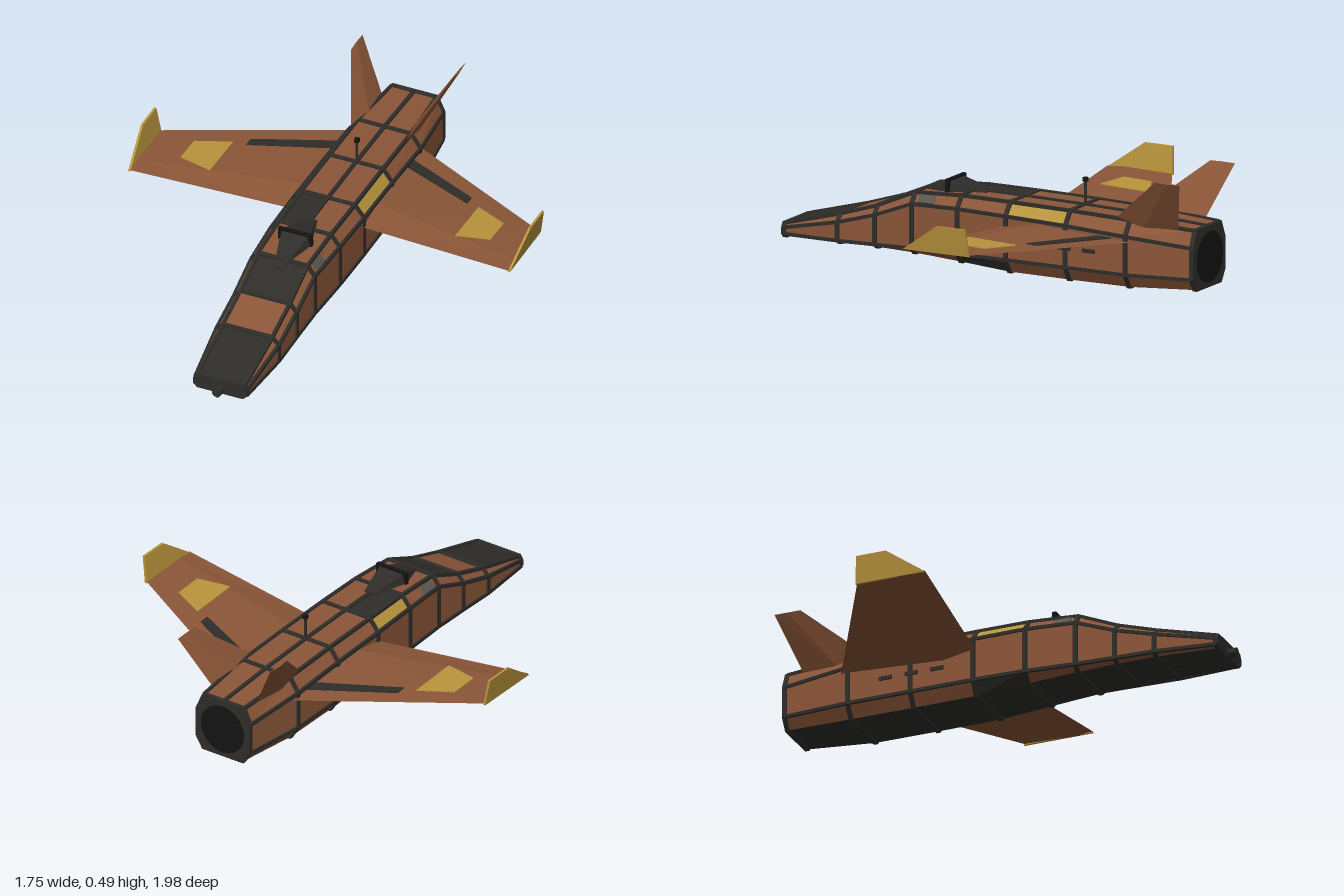
import * as THREE from 'three';

const mat = (color) => new THREE.MeshStandardMaterial({ color, flatShading: true, side: THREE.DoubleSide });
const MATS = {
  brown: mat(0x8b5638), dark: mat(0x2e2d2a), yellow: mat(0xb8943c),
  black: mat(0x141414), grey: mat(0x5a5650),
};
const V = (x, y, z) => new THREE.Vector3(x, y, z);

// Mesh from a flat list of triangle corners
function triMesh(name, points, material) {
  const geo = new THREE.BufferGeometry().setFromPoints(points);
  geo.computeVertexNormals();
  const mesh = new THREE.Mesh(geo, material);
  mesh.name = name;
  return mesh;
}

// Closed solid through matching rings, always turned to face outward
function loft(name, rings, material) {
  const tris = [];
  const n = rings[0].length;
  for (let i = 0; i < rings.length - 1; i++) {
    for (let j = 0; j < n; j++) {
      const k = (j + 1) % n, a = rings[i], b = rings[i + 1];
      tris.push(a[j], b[j], b[k], a[j], b[k], a[k]);
    }
  }
  const first = rings[0], last = rings[rings.length - 1];
  for (let j = 1; j < n - 1; j++) {
    tris.push(first[0], first[j], first[j + 1], last[0], last[j + 1], last[j]);
  }
  let volume = 0;
  const cross = V(0, 0, 0);
  for (let i = 0; i < tris.length; i += 3) volume += tris[i].dot(cross.crossVectors(tris[i + 1], tris[i + 2]));
  if (volume < 0) tris.reverse();
  return triMesh(name, tris, material);
}

// Square bar between two points
function bar(name, a, b, size, material) {
  const mesh = new THREE.Mesh(new THREE.BoxGeometry(size, size, a.distanceTo(b)), material);
  mesh.position.copy(a).lerp(b, 0.5);
  mesh.lookAt(b);
  mesh.name = name;
  return mesh;
}

function box(name, w, h, d, x, y, z, material) {
  const mesh = new THREE.Mesh(new THREE.BoxGeometry(w, h, d), material);
  mesh.position.set(x, y, z);
  mesh.name = name;
  return mesh;
}

// Fuselage stations: z, half widths (bottom, side, top), heights (bottom, lower, upper, top)
const STATIONS = [
  [0.955, 0.1, 0.115, 0.105, 0.03, 0.042, 0.068, 0.085],
  [0.69, 0.115, 0.14, 0.11, 0.035, 0.048, 0.125, 0.155],
  [0.515, 0.115, 0.14, 0.11, 0.036, 0.052, 0.175, 0.21],
  [0.34, 0.115, 0.142, 0.11, 0.032, 0.056, 0.242, 0.285],
  [0.12, 0.12, 0.155, 0.115, 0.02, 0.06, 0.248, 0.297],
  [-0.11, 0.125, 0.16, 0.118, 0.005, 0.062, 0.244, 0.296],
  [-0.39, 0.125, 0.16, 0.118, 0.004, 0.062, 0.236, 0.292],
  [-0.67, 0.125, 0.16, 0.118, 0.005, 0.062, 0.222, 0.284],
  [-0.965, 0.1, 0.13, 0.1, 0.02, 0.068, 0.2, 0.268],
];

// Cross-section grown outward by g, shifted along z by dz
function section([z, b, w, t, y0, y1, y2, y3], g = 0, dz = 0) {
  return [
    [-b - g / 2, y0 - g], [b + g / 2, y0 - g], [w + g, y1], [w + g, y2], [t + g / 2, y3 + g],
    [0, y3 + g], [-t - g / 2, y3 + g], [-w - g, y2], [-w - g, y1],
  ].map(([x, y]) => V(x, y, z + dz));
}

// Colour of the skin panel in bay i, face j
function panelColor(i, j) {
  const top = j === 4 || j === 5;
  if (j === 0) return 'dark';
  if (top && (i === 0 || i === 2)) return 'dark';
  if (i === 4 && (j === 5 || j === 1 || j === 8)) return 'dark';
  if ((i === 4 && j === 6) || (i === 5 && j === 3)) return 'yellow';
  return 'brown';
}

function makeFuselage() {
  const group = new THREE.Group();
  group.name = 'fuselage';
  const skins = { brown: [], dark: [], yellow: [] };
  const rings = STATIONS.map((s) => section(s));
  for (let i = 0; i < rings.length - 1; i++) {
    for (let j = 0; j < 9; j++) {
      const k = (j + 1) % 9, f = rings[i], r = rings[i + 1];
      skins[panelColor(i, j)].push(f[j], r[j], r[k], f[j], r[k], f[k]);
    }
  }
  for (const key in skins) group.add(triMesh(`${key}SkinPanels`, skins[key], MATS[key]));

  // Seam frames around each station; the end ones close the hull
  STATIONS.forEach((s) => group.add(loft('seamFrame', [section(s, 0.006, 0.01), section(s, 0.006, -0.01)], MATS.dark)));

  // Lengthwise seam strips on the hull edges
  for (let i = 0; i < rings.length - 1; i++) {
    for (const j of [2, 3, 4, 6, 7, 8]) group.add(bar('seamStrip', rings[i][j], rings[i + 1][j], 0.014, MATS.dark));
    if (i >= 4) group.add(bar('spineStrip', rings[i][5], rings[i + 1][5], 0.016, MATS.dark));
  }

  // Exhaust opening
  const exhaust = new THREE.Mesh(new THREE.CylinderGeometry(0.108, 0.108, 0.01, 20), MATS.black);
  exhaust.rotation.x = Math.PI / 2;
  exhaust.position.set(0, 0.142, -0.974);
  exhaust.name = 'exhaust';
  group.add(exhaust);

  // Side vents and grey cockpit side patches
  for (const s of [1, -1]) {
    for (const z of [-0.27, -0.385, -0.5]) group.add(box('sideVent', 0.012, 0.016, 0.058, s * 0.161, 0.143, z, MATS.dark));
    const patch = box('cockpitPatch', 0.036, 0.006, 0.075, s * 0.13, 0.266, 0.275, MATS.grey);
    patch.rotation.z = -s * 0.92;
    group.add(patch);
  }
  return group;
}

// Wing surface height follows the dihedral and the ridge of the diamond section
const ROOT = { x: 0.14, le: -0.105, te: -0.71, y: 0.2, h: 0.026 };
const TIP = { x: 0.852, le: -0.02, te: -0.322, y: 0.243, h: 0.006 };
const RIDGE = 0.24;
function wingAt(x) {
  const t = (x - ROOT.x) / (TIP.x - ROOT.x);
  const o = {};
  for (const k in ROOT) o[k] = THREE.MathUtils.lerp(ROOT[k], TIP[k], t);
  return o;
}
function wingTop(x, z) {
  const w = wingAt(x), c = (z - w.le) / (w.te - w.le);
  return w.y + w.h * (c < RIDGE ? c / RIDGE : (1 - c) / (1 - RIDGE));
}

function makeWing(s) {
  const group = new THREE.Group();
  group.name = s > 0 ? 'leftWing' : 'rightWing';
  const ring = (w) => {
    const zr = THREE.MathUtils.lerp(w.le, w.te, RIDGE), x = s * w.x;
    return [V(x, w.y, w.le), V(x, w.y + w.h, zr), V(x, w.y, w.te), V(x, w.y - w.h, zr)];
  };
  group.add(loft('wingPanel', [ring(ROOT), ring(TIP)], MATS.brown));

  // Thin plates lying on the upper surface, given as x, z corners
  const plate = (name, corners, material) => {
    const layer = (d) => corners.map(([x, z]) => V(s * x, wingTop(x, z) + d, z));
    group.add(loft(name, [layer(-0.004), layer(0.005)], material));
  };
  plate('wingMarking', [[0.55, -0.155], [0.695, -0.185], [0.695, -0.315], [0.55, -0.385]], MATS.yellow);
  plate('flapStrip', [[0.15, -0.55], [0.495, -0.393], [0.495, -0.438], [0.15, -0.608]], MATS.dark);

  // Upturned wing tip
  const tip = (d) => [
    V(s * (0.848 + d), 0.238, -0.018), V(s * (0.866 + d), 0.355, -0.185),
    V(s * (0.866 + d), 0.355, -0.318), V(s * (0.848 + d), 0.238, -0.328),
  ];
  group.add(loft('wingTip', [tip(-0.002), tip(0.008)], MATS.yellow));
  return group;
}

// Canted tail fin with a diamond section
function makeTailFin(s) {
  const ring = (x, y, front, rear, h) => {
    const mid = (front + rear) / 2;
    return [V(s * x, y, front), V(s * (x + h), y - h / 2, mid), V(s * x, y, rear), V(s * (x - h), y + h / 2, mid)];
  };
  return loft(s > 0 ? 'leftTailFin' : 'rightTailFin', [
    ring(0.108, 0.262, -0.575, -0.89, 0.014), ring(0.232, 0.485, -0.85, -0.965, 0.004),
  ], MATS.brown);
}

function makeCanopy() {
  const group = new THREE.Group();
  group.name = 'canopy';
  const ring = (z, w, t, low, high) => [V(-w, low, z), V(w, low, z), V(t, high, z), V(-t, high, z)];
  group.add(loft('canopyShell', [
    ring(0.385, 0.025, 0.02, 0.255, 0.275), ring(0.215, 0.074, 0.06, 0.275, 0.338), ring(0.055, 0.03, 0.025, 0.28, 0.302),
  ], MATS.dark));
  group.add(loft('canopyFrame', [ring(0.222, 0.076, 0.075, 0.275, 0.345), ring(0.205, 0.076, 0.075, 0.275, 0.345)], MATS.black));
  return group;
}

export function createModel() {
  const model = new THREE.Group();
  model.name = 'aircraft';
  model.add(makeFuselage(), makeCanopy());
  for (const s of [1, -1]) model.add(makeWing(s), makeTailFin(s));

  // Gun barrel under the nose
  const barrel = new THREE.Mesh(new THREE.CylinderGeometry(0.02, 0.02, 0.32, 10), MATS.dark);
  barrel.rotation.x = Math.PI / 2;
  barrel.position.set(0, 0.046, 0.84);
  barrel.name = 'gunBarrel';
  model.add(barrel);

  // Antenna with a knob
  const mast = new THREE.Mesh(new THREE.CylinderGeometry(0.006, 0.006, 0.11, 8), MATS.dark);
  mast.position.set(0, 0.345, -0.395);
  mast.name = 'antennaMast';
  model.add(mast, box('antennaKnob', 0.018, 0.018, 0.018, 0, 0.4, -0.395, MATS.black));
  return model;
}
